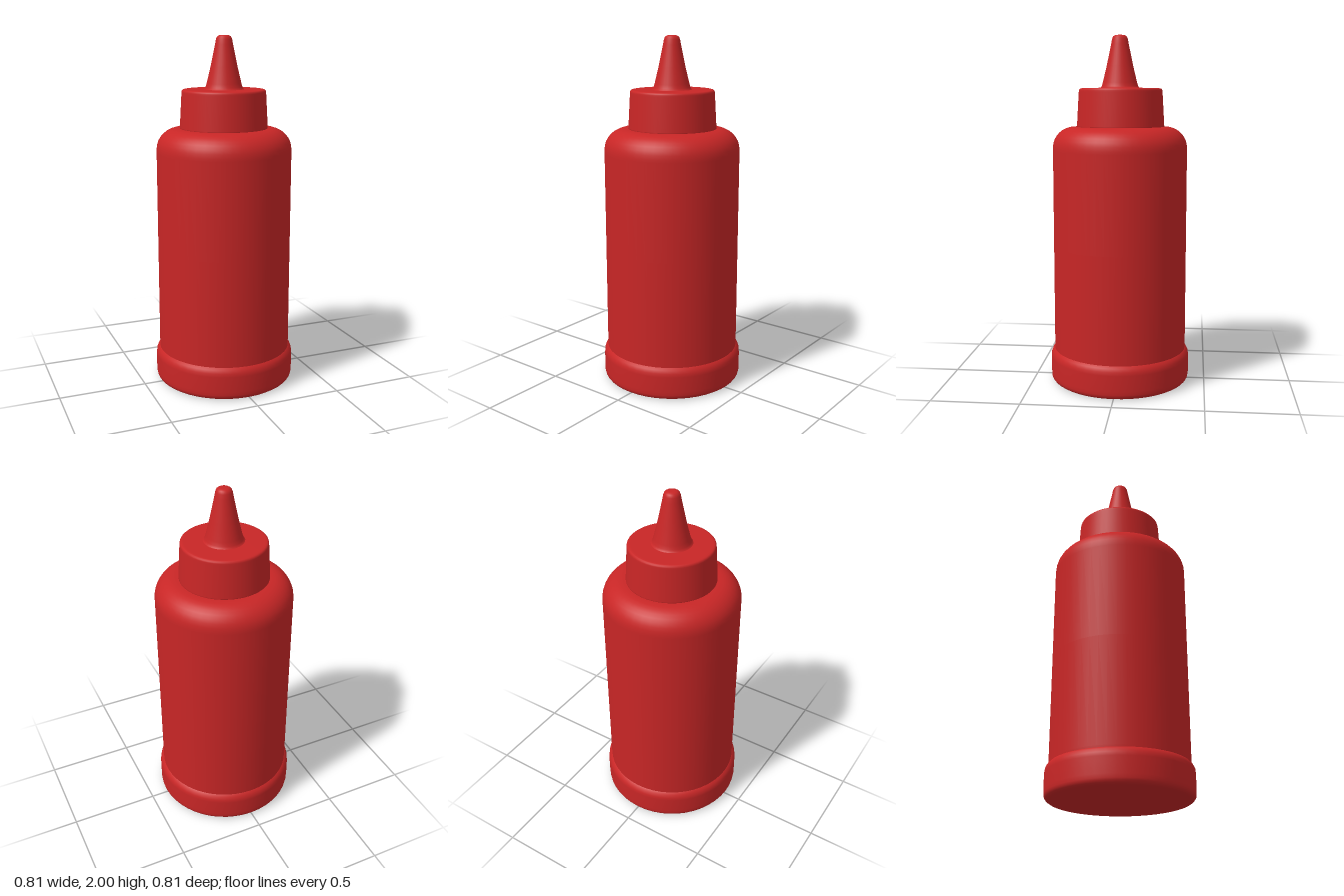
import * as THREE from 'three';

const red = new THREE.MeshStandardMaterial({ color: 0xc82626 });
red.name = 'red plastic';

// Turned part from [radius, height] pairs, listed bottom to top
function turned(name, profile, segments = 48) {
  const points = profile.map(([r, y]) => new THREE.Vector2(r, y));
  const mesh = new THREE.Mesh(new THREE.LatheGeometry(points, segments), red);
  mesh.name = name;
  return mesh;
}

// Points along a rounded corner, from angle a to b (degrees)
function corner(cx, cy, radius, a, b, steps = 6) {
  return Array.from({ length: steps + 1 }, (_, i) => {
    const t = THREE.MathUtils.degToRad(a + ((b - a) * i) / steps);
    return [cx + radius * Math.cos(t), cy + radius * Math.sin(t)];
  });
}

export function createModel() {
  const bottle = new THREE.Group();
  bottle.name = 'squeezeBottle';

  // Flared foot with a slightly dished underside
  bottle.add(turned('base', [
    [0, 0.025], [0.15, 0.02], [0.3, 0.008], [0.35, 0.002],
    ...corner(0.375, 0.03, 0.03, -90, 0, 4),
    [0.406, 0.05], [0.406, 0.14],
    [0.404, 0.16], [0.396, 0.178], [0.384, 0.19], [0.375, 0.195],
  ]));

  // Straight body with rounded shoulder
  bottle.add(turned('body', [
    [0.384, 0.17], [0.385, 0.2], [0.385, 0.8], [0.385, 1.35],
    ...corner(0.265, 1.365, 0.12, 0, 90, 8),
    [0.23, 1.486], [0.15, 1.486],
  ]));

  // Tapered screw cap
  const cap = turned('cap', [
    [0.22, 1.478], [0.245, 1.479], [0.25, 1.484], [0.25, 1.49],
    [0.239, 1.68], [0.238, 1.688],
    ...corner(0.226, 1.69, 0.012, 0, 90, 3),
    [0.215, 1.703], [0.05, 1.703],
  ]);
  cap.position.z = -0.004;
  bottle.add(cap);

  // Conical nozzle with a soft foot and blunt tip
  bottle.add(turned('nozzle', [
    [0.118, 1.7], [0.11, 1.705], [0.104, 1.715], [0.098, 1.735],
    [0.075, 1.83], [0.05, 1.95], [0.045, 1.978],
    [0.039, 1.992], [0.028, 1.999], [0.015, 2], [0, 2],
  ], 32));

  return bottle;
}
